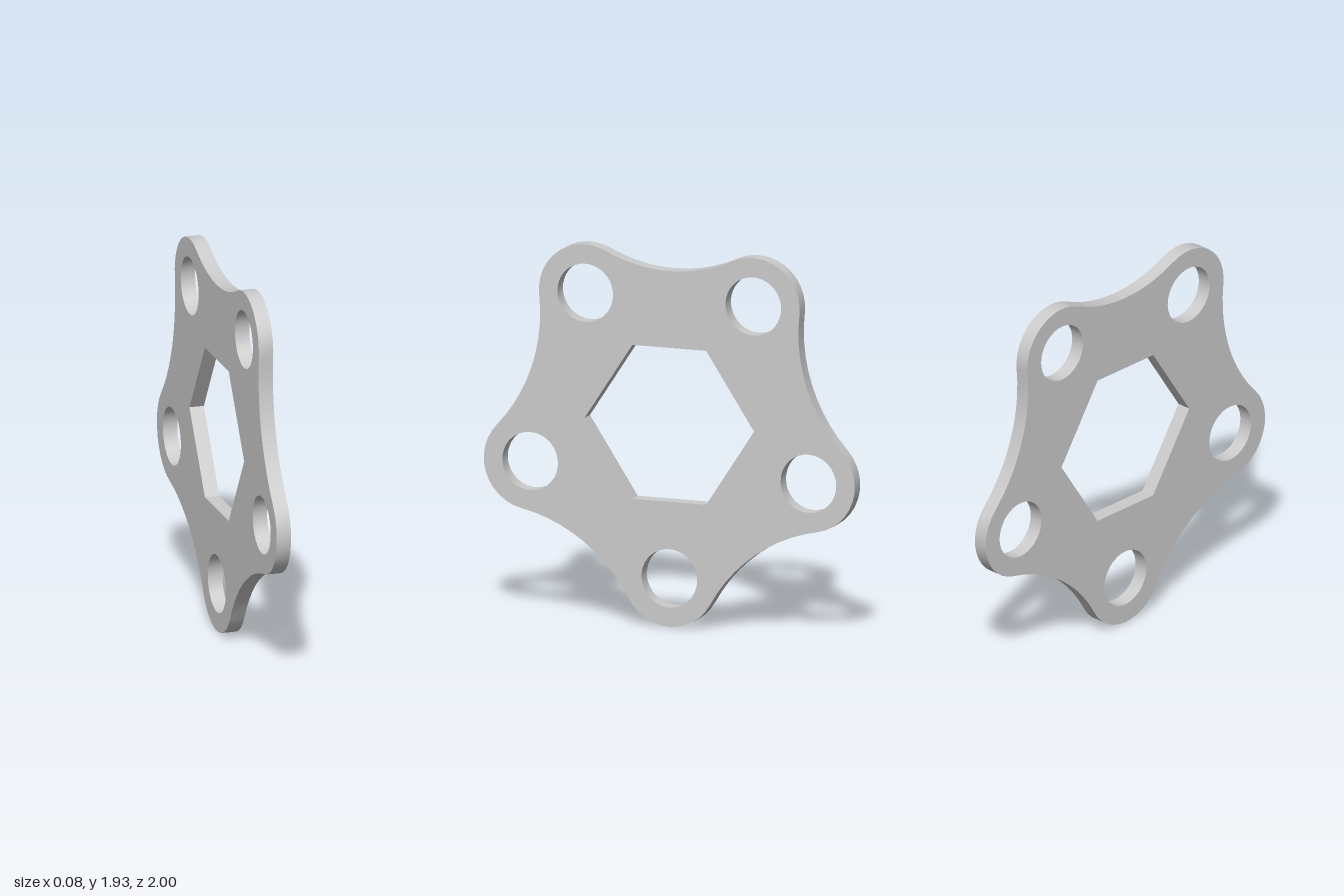
import * as THREE from 'three';
import { toCreasedNormals } from 'three/addons/utils/BufferGeometryUtils.js';

const THICKNESS = 0.076;
const LOBE_R = 0.25;
const HOLE_R = 0.15;
const VALLEY = 0.147; // how far the waist bulges past the line joining two lobes

// lobe centres, counter-clockwise
const lobes = [[0.453, 1.684], [-0.453, 1.684], [-0.75, 0.795], [0, 0.25], [0.75, 0.795]]
  .map(([x, y]) => new THREE.Vector2(x, y));

// points along an arc, without its end point
function arc(c, r, a0, a1, n) {
  return Array.from({ length: n }, (_, i) => {
    const a = a0 + (a1 - a0) * i / n;
    return new THREE.Vector2(c.x + r * Math.cos(a), c.y + r * Math.sin(a));
  });
}

// concave circle tangent to two neighbouring lobes
function fillet(a, b) {
  const d = b.clone().sub(a);
  const h = d.length() / 2;
  const k = LOBE_R - VALLEY;
  const dist = (h * h - k * k) / (2 * k);
  const normal = new THREE.Vector2(d.y, -d.x).normalize();
  const centre = a.clone().add(b).multiplyScalar(0.5).addScaledVector(normal, dist);
  return { centre, r: dist - VALLEY };
}

const angleTo = (from, to) => Math.atan2(to.y - from.y, to.x - from.x);

function plateShape() {
  const n = lobes.length;
  const fillets = lobes.map((c, i) => fillet(c, lobes[(i + 1) % n]));
  const outline = [];
  lobes.forEach((c, i) => {
    const prev = fillets[(i + n - 1) % n], next = fillets[i];
    // rounded lobe
    const a0 = angleTo(c, prev.centre);
    let a1 = angleTo(c, next.centre);
    if (a1 < a0) a1 += Math.PI * 2;
    outline.push(...arc(c, LOBE_R, a0, a1, 12));
    // concave waist to the next lobe
    const b0 = angleTo(next.centre, c);
    let b1 = angleTo(next.centre, lobes[(i + 1) % n]);
    if (b1 > b0) b1 -= Math.PI * 2;
    outline.push(...arc(next.centre, next.r, b0, b1, 10));
  });
  const shape = new THREE.Shape(outline);

  // round holes in the lobes
  for (const c of lobes) shape.holes.push(new THREE.Path(arc(c, HOLE_R, 0, -Math.PI * 2, 36)));

  // wide hexagonal opening in the middle
  const hex = [[0.457, 1.04], [0.199, 0.644], [-0.199, 0.644], [-0.457, 1.04], [-0.199, 1.436], [0.199, 1.436]];
  shape.holes.push(new THREE.Path(hex.map(([x, y]) => new THREE.Vector2(x, y))));
  return shape;
}

export function createModel() {
  const group = new THREE.Group();
  group.name = 'fiveLobedPlate';

  const geometry = new THREE.ExtrudeGeometry(plateShape(), { depth: THICKNESS, bevelEnabled: false, steps: 1 });
  geometry.translate(0, 0, -THICKNESS / 2);
  geometry.rotateY(Math.PI / 2); // plate stands in the y-z plane

  const plate = new THREE.Mesh(toCreasedNormals(geometry, 0.6), new THREE.MeshStandardMaterial({ color: 0xcccccc }));
  plate.name = 'plate';
  group.add(plate);
  return group;
}
